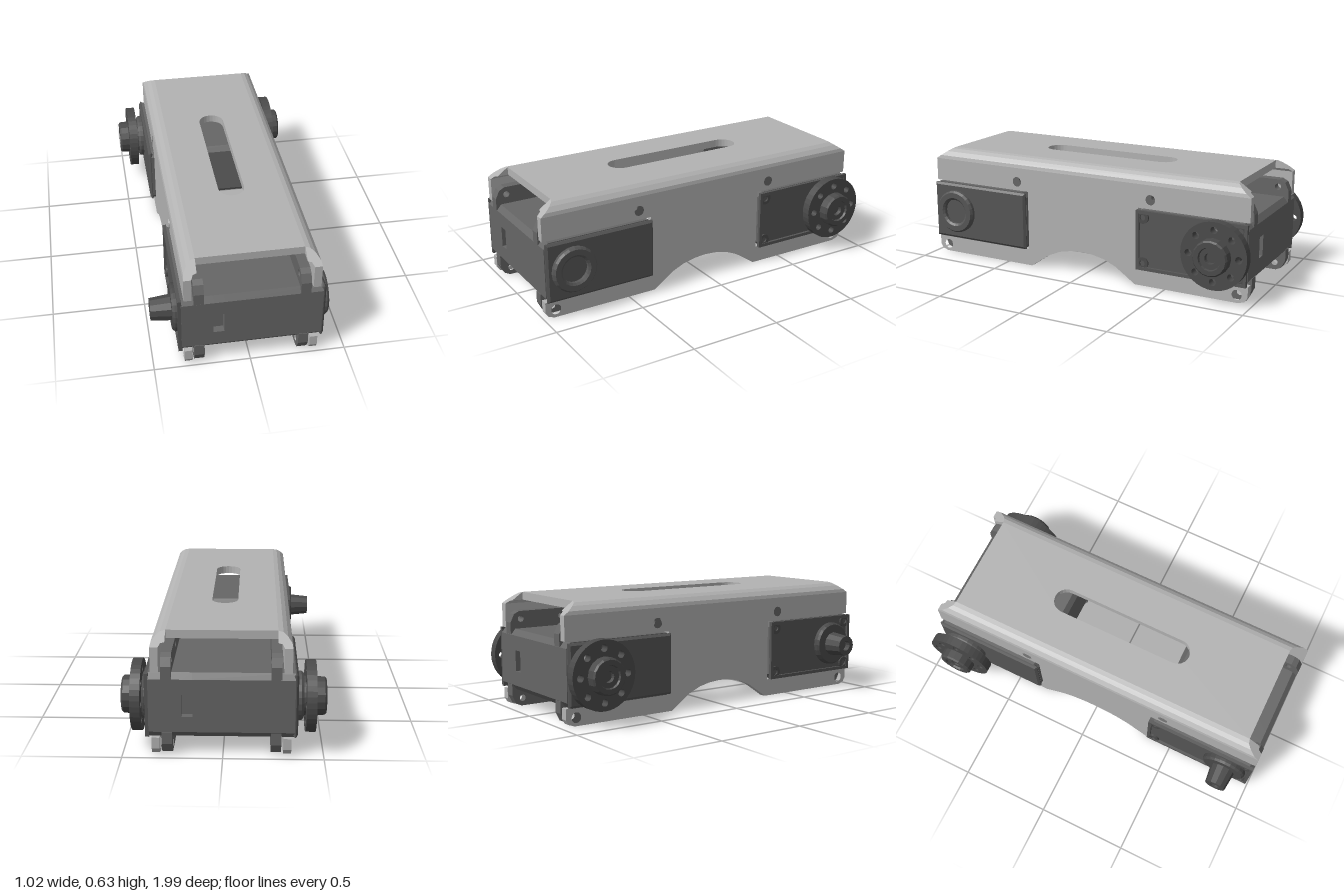
import * as THREE from 'three';

const material = (color) => new THREE.MeshStandardMaterial({ color, flatShading: true });
const SHEET = material(0xb3b3b3), CASE = material(0x666666), COVER = material(0x565656), HORN = material(0x4a4a4a);

function add(parent, name, geo, mat) {
  const m = new THREE.Mesh(geo, mat);
  m.name = name;
  parent.add(m);
}

const poly = (pts) => new THREE.Shape(pts.map(([a, b]) => new THREE.Vector2(a, b)));

function hole(shape, a, b, r) {
  shape.holes.push(new THREE.Path().absarc(a, b, r, 0, Math.PI * 2, true));
}

// Slab with a (z, y) outline, filling x0..x1
function slab(shape, x0, x1, curveSegments = 8) {
  const g = new THREE.ExtrudeGeometry(shape, { depth: x1 - x0, bevelEnabled: false, curveSegments });
  return g.rotateY(-Math.PI / 2).translate(x1, 0, 0);
}

// Turned part along the sideways axle; points are [radius, distance outwards]
const AXLE_Y = 0.275, AXLE_Z = 0.825;
function turned(points, side, sides = 24) {
  const g = new THREE.LatheGeometry(points.map(([r, t]) => new THREE.Vector2(r, t)), sides);
  return g.rotateZ(-side * Math.PI / 2).translate(0, AXLE_Y, AXLE_Z);
}

// Inverted channel of folded sheet
function createBracket() {
  const g = new THREE.Group();
  g.name = 'bracket';

  // side plates: open end notches for the motors, arched underside, screw holes
  const half = [[0.98, 0.573], [0.98, 0.443], [0.348, 0.443], [0.348, 0.103], [0.98, 0.103], [0.98, 0.045],
    [0.965, 0.02], [0.93, 0.008], [0.33, 0.008], [0.27, 0.05], [0.21, 0.09], [0.14, 0.12], [0.07, 0.135]];
  const other = half.map(([z, y]) => [-z, y]).reverse();
  const side = poly([...half, [0, 0.14], ...other]);
  for (const s of [-1, 1]) {
    hole(side, s * 0.92, 0.052, 0.028);
    hole(side, s * 0.42, 0.493, 0.028);
  }
  add(g, 'leftSidePlate', slab(side, 0.306, 0.346), SHEET);
  add(g, 'rightSidePlate', slab(side, -0.346, -0.306), SHEET);

  // rounded folds, shortened towards the top
  for (const s of [-1, 1]) {
    const pts = [[0.306, 0.573], [0.346, 0.573], [0.342, 0.592], [0.322, 0.615], [0.3, 0.63], [0.275, 0.635],
      [0.275, 0.592], [0.295, 0.588]].map(([x, y]) => [s * x, y]);
    const fold = new THREE.ExtrudeGeometry(poly(pts), { depth: 2, bevelEnabled: false }).translate(0, 0, -1);
    const p = fold.attributes.position;
    for (let i = 0; i < p.count; i++) {
      const k = (p.getY(i) - 0.573) / 0.062;
      p.setZ(i, Math.sign(p.getZ(i)) * (0.98 - 0.09 * k));
    }
    add(g, s > 0 ? 'leftFold' : 'rightFold', fold, SHEET);
  }

  // top plate with long rounded slot
  const top = poly([[-0.275, -0.89], [0.275, -0.89], [0.275, 0.89], [-0.275, 0.89]]);
  const slot = new THREE.Path();
  slot.absarc(0, 0.34, 0.07, 0, Math.PI, false);
  slot.absarc(0, -0.34, 0.07, Math.PI, Math.PI * 2, false);
  slot.closePath();
  top.holes.push(slot);
  const topGeo = new THREE.ExtrudeGeometry(top, { depth: 0.043, bevelEnabled: false, curveSegments: 6 });
  add(g, 'topPlate', topGeo.rotateX(-Math.PI / 2).translate(0, 0.592, 0), SHEET);
  return g;
}

// Motor with its output on -x and its idler on +x
function createMotor() {
  const g = new THREE.Group();
  g.name = 'motor';

  // body in three slabs, the middle one notched for the end socket
  const low = [[0.35, 0.135], [0.375, 0.105], [0.955, 0.105], [0.98, 0.135]];
  const high = [[0.98, 0.41], [0.955, 0.44], [0.375, 0.44], [0.35, 0.41]];
  const plain = poly([...low, ...high]);
  const notched = poly([...low, [0.98, 0.215], [0.94, 0.215], [0.94, 0.33], [0.98, 0.33], ...high]);
  add(g, 'bodyOutputSide', slab(plain, -0.36, -0.197), CASE);
  add(g, 'bodySocket', slab(notched, -0.197, -0.142), CASE);
  add(g, 'bodyIdlerSide', slab(plain, -0.142, 0.362), CASE);

  // cover with raised frame and corner screws on the output side
  const outline = [[0.35, 0.107], [0.978, 0.107], [0.978, 0.438], [0.35, 0.438]];
  add(g, 'outputCover', slab(poly(outline), -0.363, -0.357), COVER);
  const frame = poly(outline);
  frame.holes.push(new THREE.Path([[0.368, 0.125], [0.368, 0.42], [0.96, 0.42], [0.96, 0.125]]
    .map(([a, b]) => new THREE.Vector2(a, b))));
  add(g, 'outputFrame', slab(frame, -0.377, -0.363), COVER);
  for (const z of [0.388, 0.94]) {
    for (const y of [0.145, 0.4]) {
      const boss = new THREE.Shape().absarc(z, y, 0.034, 0, Math.PI * 2, false);
      hole(boss, z, y, 0.016);
      add(g, 'screwBoss', slab(boss, -0.373, -0.36), HORN);
    }
  }

  // bevelled cover on the idler side
  const cover = new THREE.ExtrudeGeometry(
    poly([[0.352, 0.109], [0.976, 0.109], [0.976, 0.436], [0.352, 0.436]]),
    { depth: 0.006, bevelThickness: 0.01, bevelSize: 0.012, bevelOffset: -0.012, bevelSegments: 1 });
  add(g, 'idlerCover', cover.rotateY(-Math.PI / 2).translate(0.368, 0, 0), COVER);

  // mounting flanges above and below, running lengthwise and covering the body's bevels
  for (const up of [true, false]) {
    const Y = (y) => (up ? y : 0.545 - y);
    const flange = poly([[0.355, Y(0.412)], [0.982, Y(0.412)], [0.982, Y(0.475)], [0.96, Y(0.52)], [0.93, Y(0.535)],
      [0.4, Y(0.535)], [0.375, Y(0.52)], [0.355, Y(0.475)]]);
    for (const z of [0.42, 0.67, 0.92]) hole(flange, z, Y(0.493), 0.018);
    for (const s of [-1, 1]) {
      add(g, up ? 'upperFlange' : 'lowerFlange', slab(flange, s * 0.27 - 0.026, s * 0.27 + 0.026), CASE);
    }
  }

  // output boss and hollow idler ring
  add(g, 'outputBoss', turned([[0.125, 0.355], [0.125, 0.385], [0.115, 0.397], [0, 0.397]], -1), HORN);
  add(g, 'idlerRing', turned([[0.125, 0.37], [0.125, 0.395], [0.115, 0.407], [0.085, 0.407],
    [0.073, 0.398], [0.073, 0.38], [0, 0.38]], 1), COVER);
  return g;
}

// Round horn with a ring of holes and a central screw cap
function createHorn(side, inner) {
  const g = new THREE.Group();
  g.name = 'horn';
  const disc = new THREE.Shape().absarc(AXLE_Z, AXLE_Y, 0.182, 0, Math.PI * 2, false);
  for (let i = 0; i < 8; i++) {
    const a = i * Math.PI / 4;
    hole(disc, AXLE_Z + 0.138 * Math.cos(a), AXLE_Y + 0.138 * Math.sin(a), 0.019);
  }
  const outer = inner + 0.05;
  const x0 = side > 0 ? inner : -outer;
  add(g, 'hornDisc', slab(disc, x0, x0 + 0.05, 20), HORN);
  add(g, 'hornHub', turned([[0.1, 0.36], [0.1, inner + 0.01]], side), HORN);
  add(g, 'hornCap', turned([[0.098, outer - 0.01], [0.096, outer + 0.045], [0.088, outer + 0.054],
    [0.062, outer + 0.054], [0.058, outer + 0.042], [0.03, outer + 0.042], [0.028, outer + 0.02],
    [0, outer + 0.02]], side, 16), HORN);
  return g;
}

export function createModel() {
  const root = new THREE.Group();
  root.name = 'motorBracketAssembly';

  root.add(createBracket());

  // front motor with bare output shaft
  const front = createMotor();
  front.name = 'frontMotor';
  add(front, 'outputShaft',
    turned([[0.07, 0.39], [0.058, 0.503], [0.03, 0.503], [0.03, 0.47], [0, 0.47]], -1, 12), HORN);
  root.add(front);

  // back motor turned round, with a horn on both sides
  const back = createMotor();
  back.name = 'backMotor';
  back.rotation.y = Math.PI;
  back.add(createHorn(-1, 0.398), createHorn(1, 0.417));
  root.add(back);

  root.position.set(0.007, 0, 0.01);
  const model = new THREE.Group();
  model.add(root);
  return model;
}
